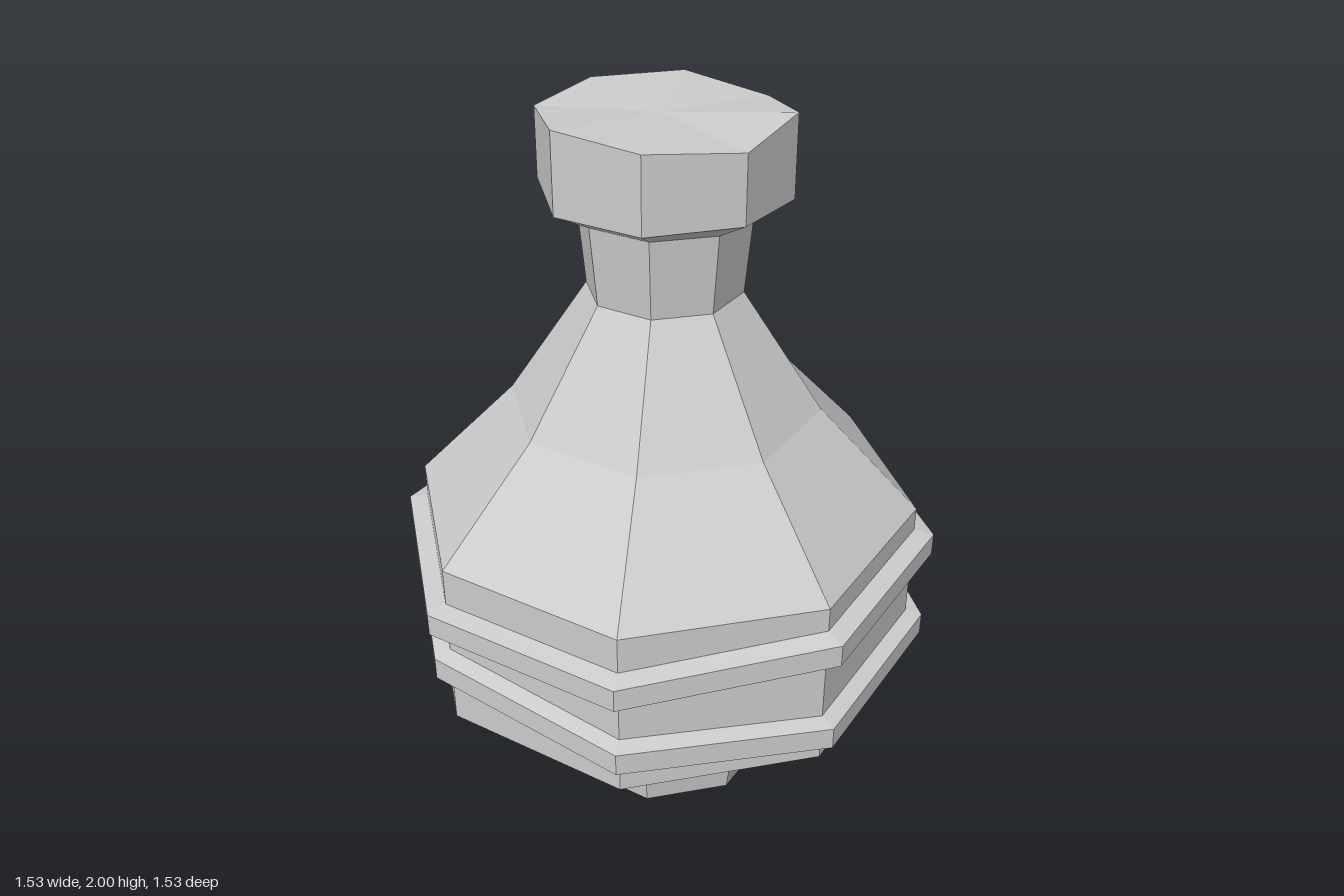
import * as THREE from 'three';

const SIDES = 8;
const material = new THREE.MeshStandardMaterial({ color: 0xcccccc, flatShading: true, side: THREE.DoubleSide });

// Octagonal lathe of [radius, y] points; lift(corner, point) shifts a vertex in y.
// Corners run from +z through +x, -z and -x.
function turned(name, profile, lift = () => 0) {
  const geometry = new THREE.LatheGeometry(profile.map(([r, y]) => new THREE.Vector2(r, y)), SIDES);
  const position = geometry.attributes.position;
  for (let i = 0; i < position.count; i++) {
    const corner = Math.floor(i / profile.length) % SIDES;
    position.setY(i, position.getY(i) + lift(corner, i % profile.length));
  }
  geometry.computeVertexNormals();
  const mesh = new THREE.Mesh(geometry, material);
  mesh.name = name;
  return mesh;
}

// Raised bevelled band whose centre height varies from corner to corner
function band(name, radius, heights) {
  const section = [[0.7, -0.047], [radius, -0.032], [radius, 0.032], [0.7, 0.047]];
  return turned(name, section, (corner) => heights[corner]);
}

export function createModel() {
  const model = new THREE.Group();
  model.name = 'bottle';

  // Foot, belly, shoulders and neck
  model.add(turned('body', [
    [0, 0], [0.32, 0], [0.345, 0.17], [0.71, 0.41], [0.71, 0.9],
    [0.43, 1.19], [0.21, 1.52], [0.23, 1.735],
  ]));

  // Stopper with a slightly uneven rim
  const lower = [0, 0.005, -0.005, 0.005, 0, -0.005, 0.015, 0];
  const upper = [0, -0.015, 0.015, -0.015, 0.015, 0.012, 0, 0.015];
  model.add(turned('stopper',
    [[0.23, 1.735], [0.33, 1.785], [0.33, 1.985], [0, 1.985]],
    (corner, point) => (point === 1 ? lower[corner] : point === 2 ? upper[corner] : 0)));

  // Two wavering cords around the belly
  model.add(band('upperBand', 0.765, [0.753, 0.787, 0.788, 0.767, 0.756, 0.755, 0.757, 0.75]));
  model.add(band('lowerBand', 0.757, [0.537, 0.508, 0.508, 0.54, 0.613, 0.645, 0.655, 0.6]));

  return model;
}
